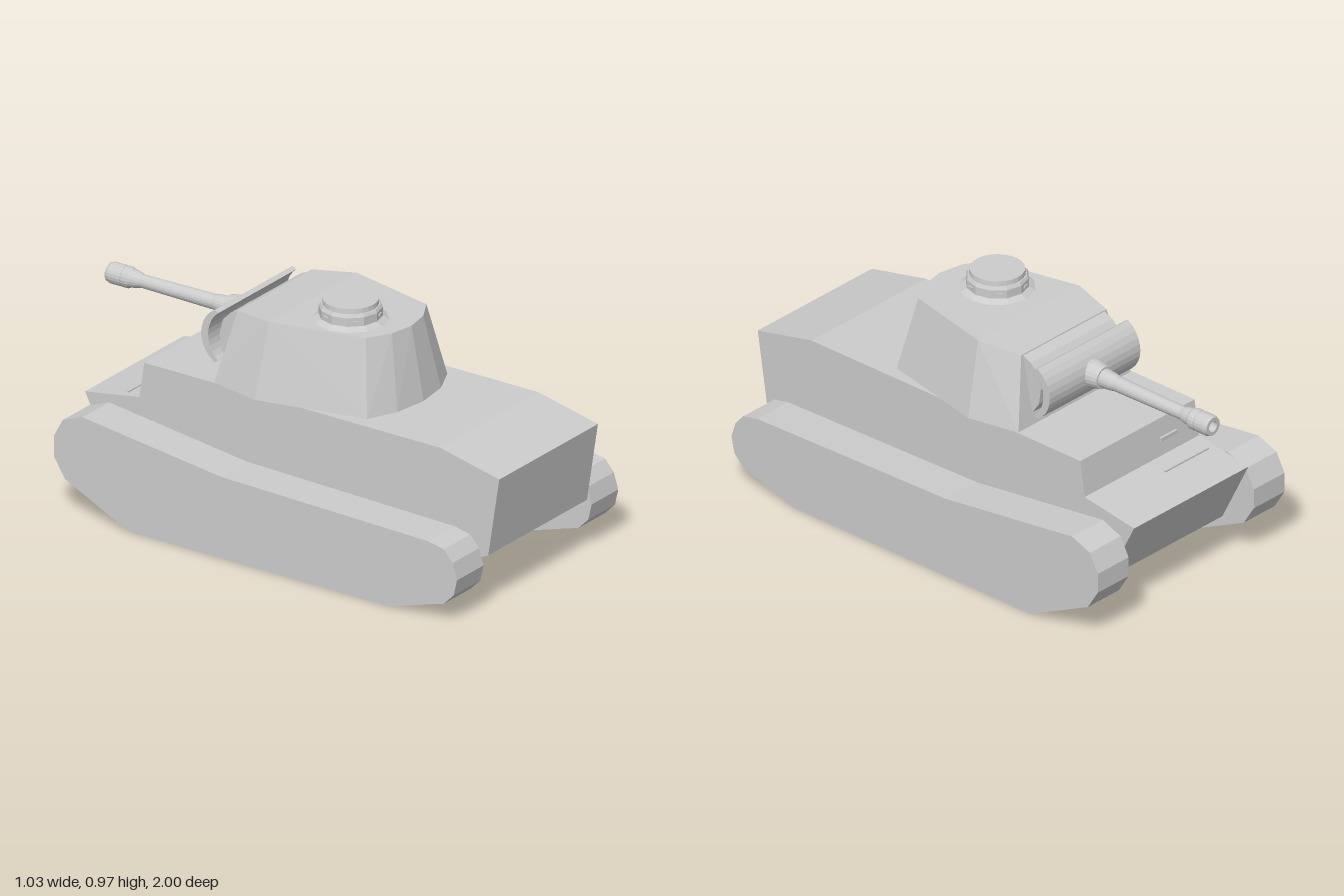
import * as THREE from 'three';
import { ConvexGeometry } from 'three/addons/geometries/ConvexGeometry.js';

const flat = new THREE.MeshStandardMaterial({ color: 0xcccccc, flatShading: true });
const smooth = new THREE.MeshStandardMaterial({ color: 0xcccccc });

function add(parent, name, geometry, material = flat) {
  const mesh = new THREE.Mesh(geometry, material);
  mesh.name = name;
  parent.add(mesh);
  return mesh;
}

// Side profile given as [z, y] pairs, extruded across x from x0 to x1
function sideExtrude(profile, x0, x1) {
  const shape = new THREE.Shape(profile.map(([z, y]) => new THREE.Vector2(-z, y)));
  const geo = new THREE.ExtrudeGeometry(shape, { depth: x1 - x0, bevelEnabled: false });
  return geo.rotateY(Math.PI / 2).translate(x0, 0, 0);
}

function lathe(profile, sides) {
  return new THREE.LatheGeometry(profile.map(([r, y]) => new THREE.Vector2(r, y)), sides);
}

export function createModel() {
  const tank = new THREE.Group();
  tank.name = 'tank';

  // Hull with sloped engine deck and stepped nose
  add(tank, 'hull', sideExtrude([
    [1, 0.535], [0.73, 0.595], [-0.62, 0.595], [-0.642, 0.45],
    [-0.89, 0.41], [-0.76, 0.15], [0.82, 0.15], [0.95, 0.215],
  ], -0.315, 0.315));

  // Tracks
  const track = [
    [0.64, 0], [-0.55, 0], [-0.84, 0.14], [-0.89, 0.22], [-0.89, 0.3],
    [-0.85, 0.375], [-0.76, 0.41], [-0.13, 0.33], [0.82, 0.31], [0.89, 0.295],
    [0.93, 0.25], [0.95, 0.185], [0.935, 0.12], [0.89, 0.075],
  ];
  add(tank, 'leftTrack', sideExtrude(track, 0.345, 0.515));
  add(tank, 'rightTrack', sideExtrude(track, -0.515, -0.345));

  // Driver's visor and nose plate rib
  add(tank, 'driverVisor', new THREE.BoxGeometry(0.09, 0.014, 0.012)).position.set(-0.155, 0.515, -0.635);
  add(tank, 'noseRib', new THREE.BoxGeometry(0.24, 0.014, 0.008)).position.set(-0.16, 0.436, -0.72);

  // Turret: tapered shell with a rounded rear
  const turret = new THREE.Group();
  turret.name = 'turret';
  tank.add(turret);
  const base = [[0.31, -0.305], [0.352, -0.09], [0.257, 0.355], [0.14, 0.41], [0, 0.43]];
  const roof = [[0.235, -0.25], [0.28, -0.075], [0.193, 0.305], [0.1, 0.357], [0, 0.375]];
  const corners = [];
  for (const side of [-1, 1]) {
    for (const [x, z] of base) corners.push(new THREE.Vector3(side * x, 0.593, z));
    roof.forEach(([x, z], i) => corners.push(new THREE.Vector3(side * x, i ? 0.887 : 0.872, z)));
  }
  add(turret, 'turretShell', new ConvexGeometry(corners));

  // Mantlet: inner drum behind a curved crescent shield
  add(turret, 'mantletDrum', sideExtrude([
    [-0.24, 0.872], [-0.29, 0.85], [-0.325, 0.815], [-0.34, 0.755],
    [-0.33, 0.69], [-0.3, 0.645], [-0.24, 0.645],
  ], -0.225, 0.225));
  const shield = [];
  const arcSteps = 10;
  for (let i = 0; i <= arcSteps; i++) {
    const a = (i / arcSteps - 0.5) * 2.1;
    shield.push([-0.285 - 0.122 * Math.cos(a), 0.75 - 0.122 * Math.sin(a)]);
  }
  for (let i = arcSteps; i >= 0; i--) {
    const a = (i / arcSteps - 0.5) * 2;
    shield.push([-0.275 - 0.1 * Math.cos(a), 0.75 - 0.115 * Math.sin(a)]);
  }
  add(turret, 'mantletShield', sideExtrude(shield, -0.25, 0.25));

  // Gun: collar, tapering barrel and muzzle brake
  const gun = new THREE.Group();
  gun.name = 'gun';
  gun.position.y = 0.755;
  turret.add(gun);
  const gunPart = (name, profile) => add(gun, name, lathe(profile, 20).rotateX(-Math.PI / 2));
  gunPart('gunCollar', [[0, 0.36], [0.056, 0.37], [0.055, 0.41], [0.045, 0.455], [0, 0.455]]);
  gunPart('barrel', [[0, 0.44], [0.038, 0.45], [0.034, 0.5], [0.03, 0.52], [0.026, 0.86], [0, 0.88]]);
  gunPart('muzzleBrake', [
    [0.026, 0.85], [0.032, 0.87], [0.036, 0.895], [0.042, 0.908], [0.042, 0.925],
    [0.039, 0.932], [0.042, 0.94], [0.042, 0.985], [0.037, 1], [0.022, 1],
    [0.022, 0.96], [0, 0.96],
  ]);

  // Commander's cupola with vision slits
  const cupola = new THREE.Group();
  cupola.name = 'cupola';
  cupola.position.set(-0.07, 0.885, 0.147);
  turret.add(cupola);
  add(cupola, 'cupolaRing', lathe([
    [0.148, 0], [0.12, 0.016], [0.12, 0.05], [0.113, 0.062], [0, 0.062],
  ], 12));
  add(cupola, 'cupolaHatch', new THREE.CylinderGeometry(0.104, 0.106, 0.022, 24)).position.y = 0.07;
  for (let i = 0; i < 6; i++) {
    const pivot = new THREE.Group();
    pivot.name = 'visionSlitMount';
    pivot.rotation.y = (i + 0.25) * Math.PI / 3;
    cupola.add(pivot);
    add(pivot, 'visionSlit', new THREE.BoxGeometry(0.025, 0.008, 0.008), smooth).position.set(0, 0.034, 0.117);
  }

  return tank;
}
